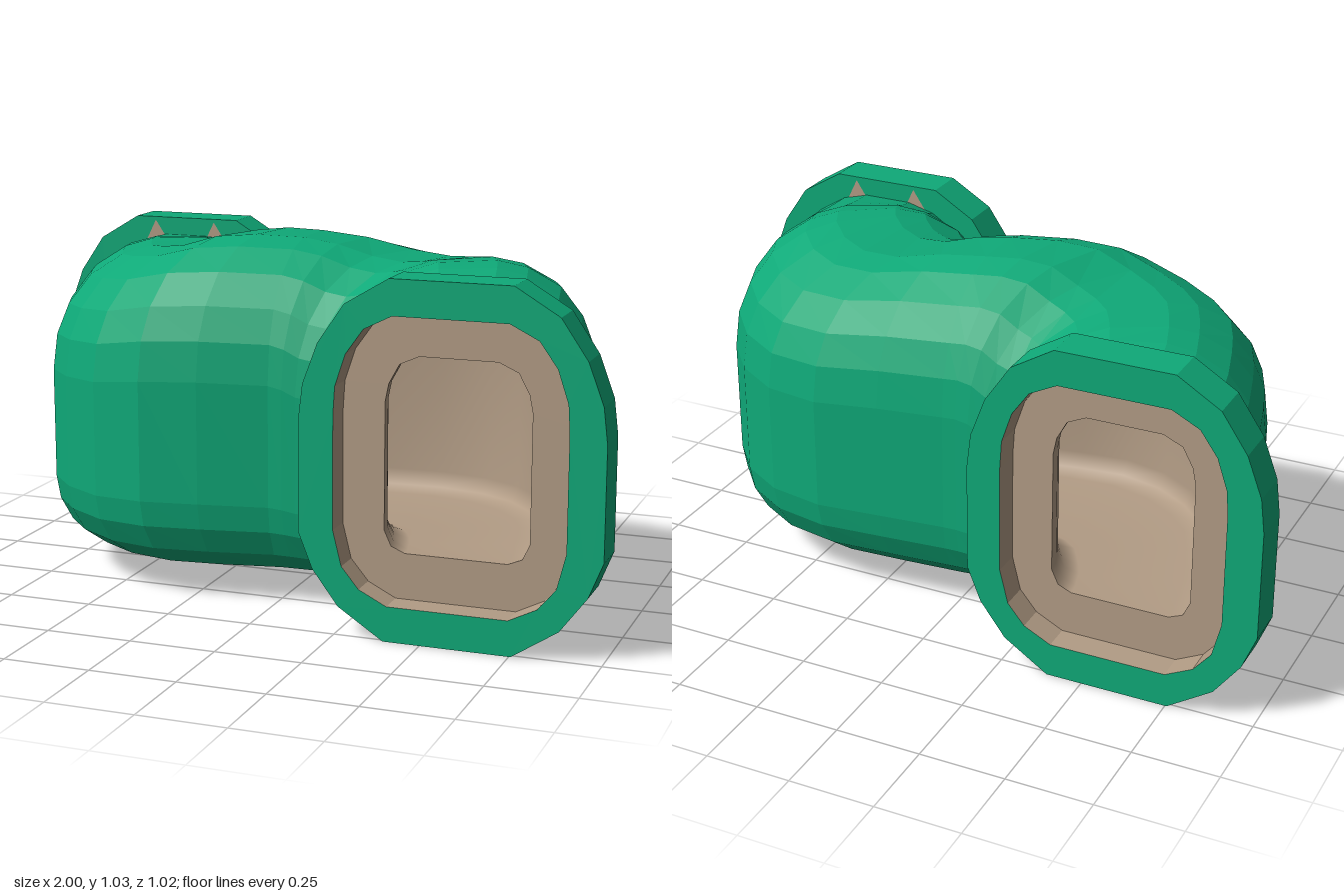
import * as THREE from 'three';
import { mergeVertices } from 'three/addons/utils/BufferGeometryUtils.js';

const green = new THREE.MeshStandardMaterial({ color: 0x0fa978 });
green.name = 'green shell';
const tan = new THREE.MeshStandardMaterial({ color: 0xb29c85 });
tan.name = 'tan lining';

// Half outlines [half width, height], bottom to top; mirrored to closed loops
const mirror = (half) => [...half, ...half.map(([x, y]) => [-x, y]).reverse()];
const flangeEdge = mirror([[0.18, 0], [0.31, 0.085], [0.385, 0.185], [0.425, 0.285], [0.425, 0.6],
  [0.413, 0.7], [0.37, 0.815], [0.295, 0.925], [0.17, 1]]);
const mouthEdge = mirror([[0.17, 0.1], [0.25, 0.14], [0.3, 0.2], [0.325, 0.3], [0.325, 0.62],
  [0.32, 0.7], [0.29, 0.79], [0.24, 0.86], [0.16, 0.9]]);
const boreEdge = mirror([[0.145, 0.23], [0.185, 0.247], [0.205, 0.29], [0.205, 0.65],
  [0.195, 0.7], [0.165, 0.755], [0.11, 0.78]]);
// Pipe section, normalised to width -1..1 and height 0..1
const pipeEdge = mirror([[0.45, 0], [0.71, 0.015], [0.88, 0.072], [0.97, 0.15], [1, 0.23], [1, 0.6],
  [0.965, 0.72], [0.87, 0.82], [0.7, 0.912], [0.45, 0.975], [0.22, 1]]);

// Pipe stations in plan: +x/back side x, z, then -x/front side x, z, then top height
const stations = [
  [0.918, 0.39, 0.225, 0.39, 0.945],
  [0.882, 0.18, 0.215, 0.385, 0.97],
  [0.86, 0.05, 0.205, 0.38, 0.99],
  [0.84, -0.06, 0.19, 0.372, 1.0],
  [0.795, -0.17, 0.175, 0.363, 0.998],
  [0.7, -0.28, 0.155, 0.357, 0.985],
  [0.57, -0.355, 0.125, 0.355, 0.975],
  [0.4, -0.39, 0.08, 0.355, 0.985],
  [0.2, -0.38, 0.04, 0.357, 1.015],
  [0, -0.365, 0, 0.358, 1.03],
  [-0.04, -0.365, -0.2, 0.4, 1.035],
  [-0.08, -0.366, -0.37, 0.42, 1.025],
  [-0.12, -0.366, -0.53, 0.38, 0.99],
  [-0.15, -0.362, -0.66, 0.295, 0.975],
  [-0.17, -0.363, -0.755, 0.19, 0.967],
  [-0.185, -0.37, -0.805, 0.07, 0.965],
  [-0.2, -0.378, -0.84, -0.04, 0.965],
  [-0.215, -0.385, -0.878, -0.18, 0.958],
  [-0.225, -0.39, -0.918, -0.39, 0.945],
];

// Faceted skin through a row of closed rings
function loft(rings, inward = false) {
  const pos = [];
  const n = rings[0].length;
  for (let i = 0; i < rings.length - 1; i++) {
    for (let j = 0; j < n; j++) {
      const k = (j + 1) % n;
      const a = rings[i][j], b = rings[i][k], c = rings[i + 1][j], d = rings[i + 1][k];
      const corners = inward ? [a, b, c, b, d, c] : [a, c, b, b, c, d];
      corners.forEach((p) => pos.push(...p));
    }
  }
  const geo = new THREE.BufferGeometry();
  geo.setAttribute('position', new THREE.Float32BufferAttribute(pos, 3));
  geo.computeVertexNormals();
  return geo;
}

// Same skin with shared vertices, for soft shading
function smooth(geo) {
  geo.deleteAttribute('normal');
  const merged = mergeVertices(geo);
  merged.computeVertexNormals();
  return merged;
}

const flatRing = (edge, z) => edge.map(([x, y]) => [x, y, z]);

// Point across a station; u runs from -1 to 1
const across = ([ax, az, bx, bz], u, y) => {
  const t = (u + 1) / 2;
  return [bx + (ax - bx) * t, y, bz + (az - bz) * t];
};

// Flat face, optionally with a hole
function plate(edge, z, hole) {
  const points = (list) => list.map(([x, y]) => new THREE.Vector2(x, y));
  const shape = new THREE.Shape(points(edge));
  if (hole) shape.holes.push(new THREE.Path(points(hole)));
  return new THREE.ShapeGeometry(shape).translate(0, 0, z);
}

function add(parent, name, geo, mat) {
  const mesh = new THREE.Mesh(geo, mat);
  mesh.name = name;
  parent.add(mesh);
}

// One flanged opening, facing +z
function makeEnd(name) {
  const end = new THREE.Group();
  end.name = name;
  add(end, 'flangeRim', loft([flatRing(flangeEdge, 0.512), flatRing(flangeEdge, 0.39)]), green);
  add(end, 'flangeFace', plate(flangeEdge, 0.512, mouthEdge), green);
  add(end, 'flangeBack', plate(flangeEdge, -0.39, mouthEdge).rotateY(Math.PI), green);
  add(end, 'mouthWall', loft([flatRing(mouthEdge, 0.512), flatRing(mouthEdge, 0.43)], true), tan);
  add(end, 'mouthLedge', plate(mouthEdge, 0.43, boreEdge), tan);

  // Thin lining collar behind the flange, widest at mid height
  const collar = pipeEdge.map(([u, v]) => [u * 0.344, 0.08 + v * 0.862]);
  const collarBack = pipeEdge.map(([u, v], i) =>
    [...collar[i], 0.388 - 0.026 * (1 - (2 * v - 1) ** 2)]);
  add(end, 'liningCollar', loft([flatRing(collar, 0.39), collarBack]), tan);

  // Small lining tips showing on the back of the flange
  for (const [x, y] of [[-0.105, 0.99], [0.095, 0.99], [0.335, 0.84]]) {
    const tip = [[x - 0.03, y - 0.06], [x + 0.04, y - 0.06], [x, y]];
    add(end, 'liningTip', plate(tip, -0.387).rotateY(Math.PI), tan);
  }
  return end;
}

export function createModel() {
  const model = new THREE.Group();
  model.name = 'bentPipe';

  // Outer shell of the S-bend
  const shell = stations.map((s) =>
    pipeEdge.map(([u, v]) => across(s, u, 0.08 + v * (s[4] - 0.08))));
  add(model, 'pipeShell', loft(shell), green);

  // Inner bore following the same bend, reaching both ledges
  const bore = stations.map((s) => boreEdge.map(([x, y]) => across(s, x / 0.345, y)));
  bore.unshift(boreEdge.map(([x, y]) => [0.575 + x, y, 0.43]));
  bore.push(boreEdge.map(([x, y]) => [-0.575 + x, y, -0.43]));
  add(model, 'pipeBore', smooth(loft(bore, true)), tan);

  // Flanged ends, front and back
  const front = makeEnd('frontEnd');
  front.position.x = 0.575;
  const back = makeEnd('backEnd');
  back.position.x = -0.575;
  back.rotation.y = Math.PI;
  model.add(front, back);
  return model;
}
